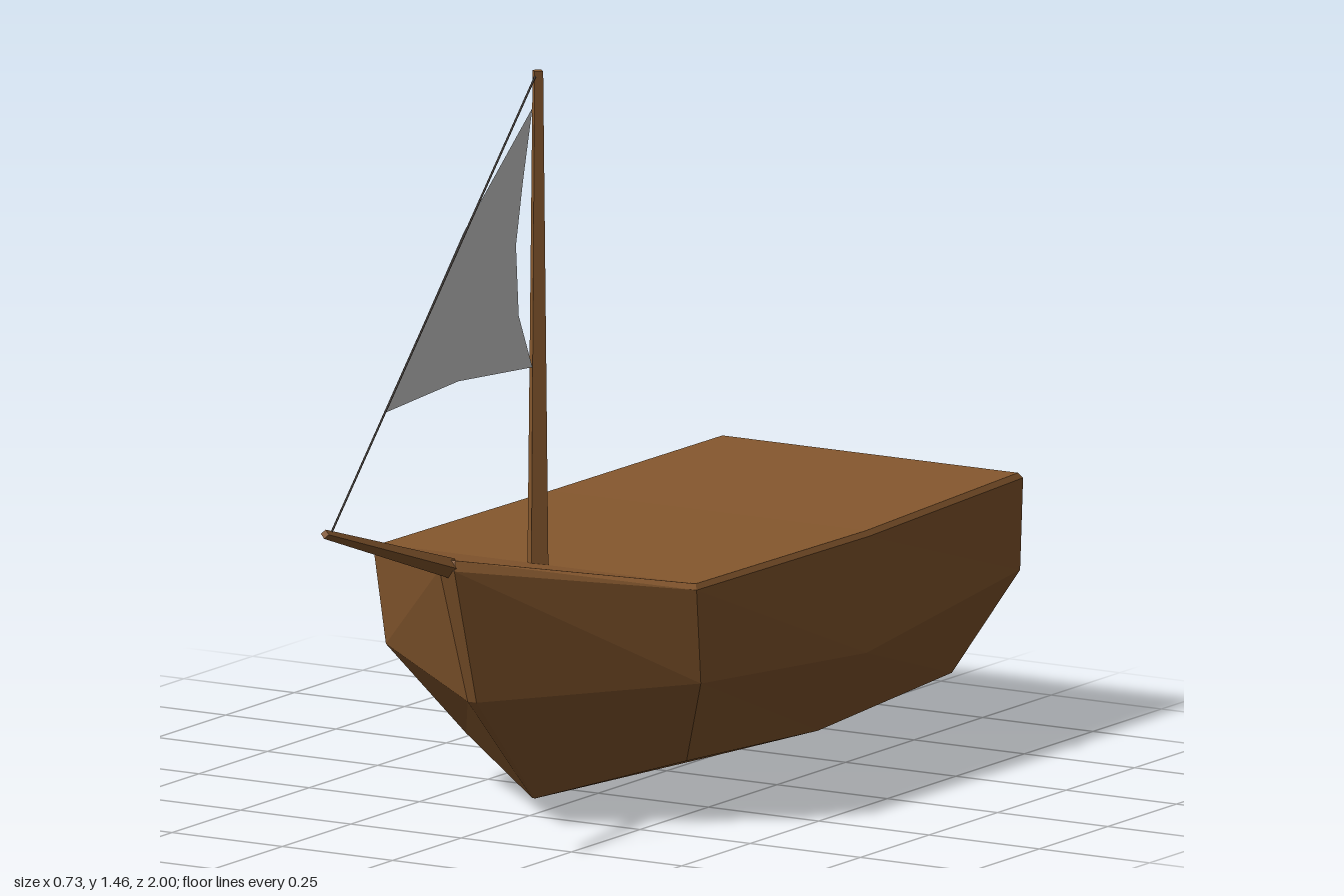
import * as THREE from 'three';

const wood = new THREE.MeshStandardMaterial({ color: 0x86582e });
wood.name = 'wood brown';
wood.flatShading = true;
const canvas = new THREE.MeshStandardMaterial({ color: 0xd1d1d1, side: THREE.DoubleSide });
canvas.name = 'sail grey';
const rope = new THREE.MeshStandardMaterial({ color: 0x2e241c });
rope.name = 'rope dark';

function part(name, geometry, material) {
  const mesh = new THREE.Mesh(geometry, material);
  mesh.name = name;
  return mesh;
}

// Half sections from stern to bow: deck edge, rail, knuckle, chine, keel
const sections = [
  [[0.335, 0.492, -0.992], [0.343, 0.482, -0.998], [0.335, 0.30, -1.0], [0.23, 0.10, -0.92], [0, 0.03, -0.89]],
  [[0.358, 0.485, -0.4], [0.366, 0.475, -0.4], [0.36, 0.245, -0.4], [0.25, 0.08, -0.4], [0, 0, -0.4]],
  [[0.358, 0.49, 0.22], [0.366, 0.48, 0.23], [0.357, 0.29, 0.2], [0.25, 0.105, 0.08], [0, 0.03, 0.225]],
  [[0.015, 0.555, 0.545], [0.017, 0.535, 0.552], [0.01, 0.26, 0.46], [0.004, 0.032, 0.235], [0, 0.03, 0.23]],
];

function hullGeometry() {
  const rings = sections.map((half) => [
    ...half,
    ...half.slice(0, 4).reverse().map(([x, y, z]) => [-x, y, z]),
  ]);
  const n = 9;
  const index = [];
  // Planking and deck between neighbouring sections
  for (let i = 0; i < rings.length - 1; i++) {
    for (let j = 0; j < n; j++) {
      const k = (j + 1) % n;
      const a = i * n + j, b = i * n + k, c = a + n, d = b + n;
      if (j < 4) index.push(a, c, b, b, c, d);
      else index.push(a, c, d, a, d, b);
    }
  }
  // Transom and stem caps
  const last = (rings.length - 1) * n;
  for (let j = 0; j < 4; j++) {
    const a = j, b = j + 1, c = 7 - j, d = 8 - j;
    index.push(a, b, c, a, c, d);
    index.push(last + a, last + c, last + b, last + a, last + d, last + c);
  }
  const geometry = new THREE.BufferGeometry();
  geometry.setAttribute('position', new THREE.Float32BufferAttribute(rings.flat(2), 3));
  geometry.setIndex(index);
  const flat = geometry.toNonIndexed();
  flat.computeVertexNormals();
  return flat;
}

// Tapered four-sided spar between two points
function spar(name, from, to, r0, r1, material, sides = 4) {
  const a = new THREE.Vector3(...from), b = new THREE.Vector3(...to);
  const dir = b.clone().sub(a);
  const mesh = part(name, new THREE.CylinderGeometry(r1, r0, dir.length(), sides), material);
  mesh.position.copy(a).add(b).multiplyScalar(0.5);
  mesh.quaternion.setFromUnitVectors(new THREE.Vector3(0, 1, 0), dir.normalize());
  return mesh;
}

export function createModel() {
  const boat = new THREE.Group();
  boat.name = 'sailingBoat';

  boat.add(part('hull', hullGeometry(), wood));
  boat.add(spar('mast', [0, 0.47, 0.22], [0, 1.46, 0.22], 0.024, 0.012, wood));
  boat.add(spar('bowsprit', [0, 0.535, 0.53], [0, 0.685, 0.997], 0.02, 0.009, wood));
  boat.add(spar('forestay', [0, 1.455, 0.225], [0, 0.682, 0.975], 0.0025, 0.0025, rope));

  // Jib with hollowed edges, outlined as (z, y)
  const outline = [
    [0.24, 1.39], [0.275, 1.25], [0.3, 1.13], [0.29, 0.99], [0.24, 0.88],
    [0.51, 0.9], [0.78, 0.885], [0.49, 1.19],
  ].map(([z, y]) => new THREE.Vector2(-z, y));
  const jib = part('jib', new THREE.ShapeGeometry(new THREE.Shape(outline)), canvas);
  jib.rotation.y = Math.PI / 2;
  boat.add(jib);

  return boat;
}
